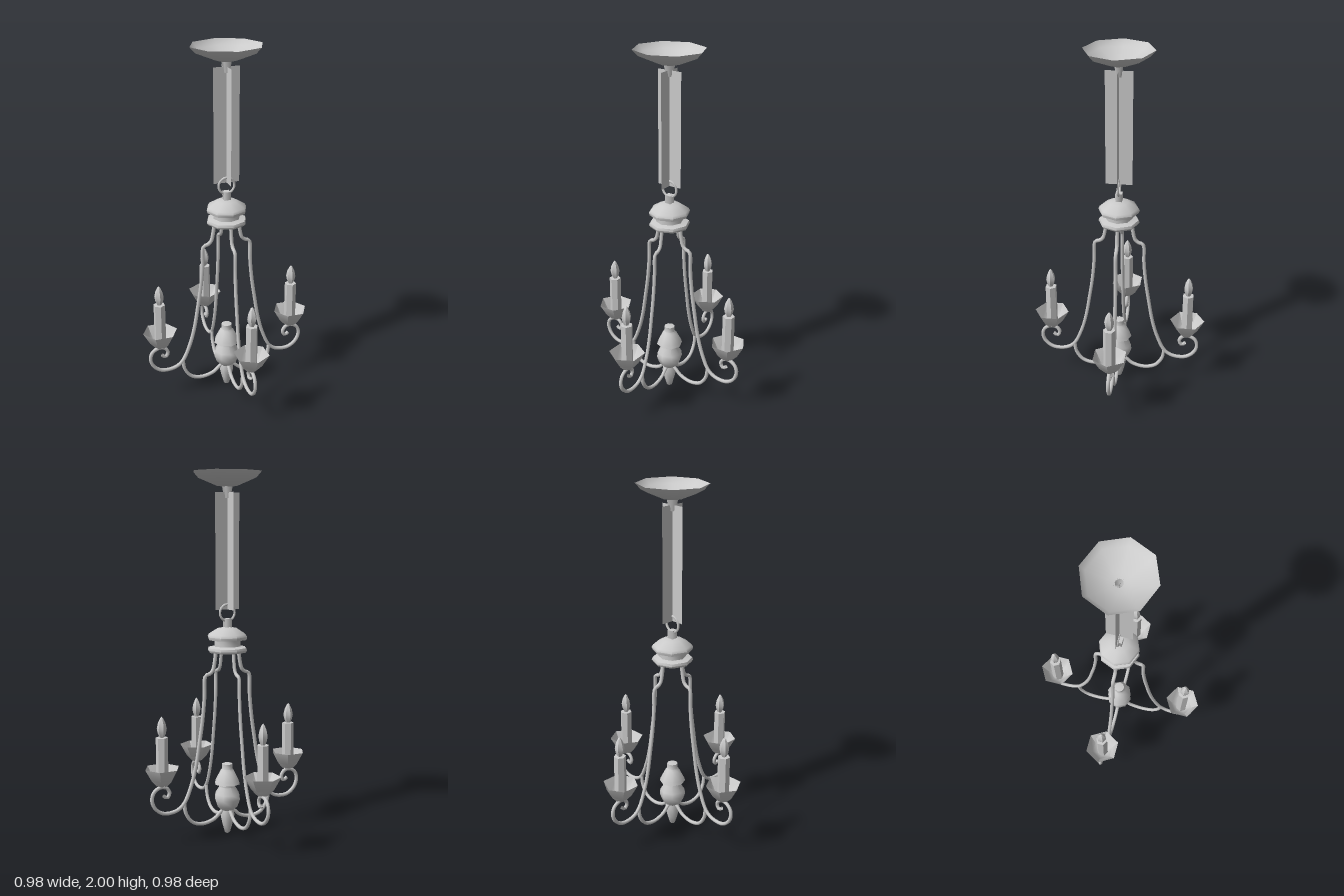
import * as THREE from 'three';
import { toCreasedNormals } from 'three/addons/utils/BufferGeometryUtils.js';

const solid = new THREE.MeshStandardMaterial({ color: 0xcccccc });
const thin = new THREE.MeshStandardMaterial({ color: 0xcccccc, side: THREE.DoubleSide });

function add(parent, name, geometry, material = solid) {
  const mesh = new THREE.Mesh(geometry, material);
  mesh.name = name;
  parent.add(mesh);
  return mesh;
}

// Faceted turned shape; profile is [radius, height] from bottom to top
function turned(profile, sides) {
  const points = profile.map(([r, y]) => new THREE.Vector2(r, y));
  return toCreasedNormals(new THREE.LatheGeometry(points, sides), 0.9);
}

// Round rod along a curve through [outward, height] points
function rod(points, steps) {
  const curve = new THREE.CatmullRomCurve3(points.map(([x, y]) => new THREE.Vector3(x, y, 0)), false, 'centripetal');
  return new THREE.TubeGeometry(curve, steps, 0.0105, 6, false);
}

// Square tapered post
function post(top, bottom, y0, y1) {
  return new THREE.CylinderGeometry(top * Math.SQRT2, bottom * Math.SQRT2, y1 - y0, 4, 1, true)
    .rotateY(Math.PI / 4).translate(0, (y0 + y1) / 2, 0);
}

function createArm() {
  const arm = new THREE.Group();

  // Long arm from the hub, stepping out and ending in a curl under the cup
  add(arm, 'mainScroll', rod([
    [0.07, 1.04], [0.078, 0.98], [0.09, 0.935], [0.11, 0.918], [0.131, 0.912], [0.138, 0.895],
    [0.14, 0.8], [0.152, 0.67], [0.17, 0.55], [0.192, 0.42], [0.222, 0.31], [0.265, 0.215],
    [0.3, 0.185], [0.345, 0.173], [0.395, 0.178], [0.437, 0.21], [0.455, 0.255], [0.445, 0.298],
    [0.41, 0.322], [0.372, 0.318], [0.352, 0.286], [0.368, 0.26], [0.388, 0.275],
  ], 90), thin);

  // Lower brace back to the finial
  add(arm, 'lowerScroll', rod([
    [0.265, 0.215], [0.255, 0.155], [0.215, 0.1], [0.15, 0.082], [0.08, 0.1], [0.045, 0.13], [0.02, 0.15],
  ], 28), thin);

  const light = new THREE.Group();
  light.name = 'candleLight';
  light.position.x = 0.394;
  arm.add(light);

  add(light, 'dripCup', turned([[0, 0.325], [0.033, 0.333], [0.06, 0.362], [0.098, 0.43]], 6)
    .rotateY(Math.PI / 6), thin);
  add(light, 'candle', turned([[0.033, 0.335], [0.033, 0.598], [0, 0.6]], 6));
  add(light, 'flameBulb', turned([
    [0.012, 0.598], [0.022, 0.62], [0.027, 0.645], [0.021, 0.675], [0.009, 0.702], [0, 0.712],
  ], 6));
  return arm;
}

export function createModel() {
  const model = new THREE.Group();
  model.name = 'chandelier';

  // Ceiling canopy, open at the top
  const canopy = add(model, 'ceilingCanopy', turned([[0.022, 1.92], [0.06, 1.925], [0.166, 1.968], [0.195, 2]], 8), thin);
  canopy.scale.z = 0.95;
  add(model, 'canopyStem', post(0.021, 0.013, 1.86, 1.922), thin);

  // Chain as two crossed strips
  for (const [name, turn] of [['chainStripX', 0], ['chainStripZ', Math.PI / 2]]) {
    add(model, name, new THREE.PlaneGeometry(0.145, 0.625).rotateY(turn).translate(0, 1.578, 0), thin);
  }

  // Hanging ring and hub
  add(model, 'hangingRing', new THREE.TorusGeometry(0.045, 0.007, 6, 20).translate(0, 1.248, 0));
  add(model, 'ringPost', post(0.018, 0.018, 1.16, 1.215), thin);
  add(model, 'ringPostCap', new THREE.BoxGeometry(0.036, 0.004, 0.036).translate(0, 1.214, 0));
  add(model, 'hub', turned([
    [0, 1.03], [0.105, 1.033], [0.113, 1.045], [0.108, 1.058], [0.075, 1.066], [0.075, 1.098],
    [0.108, 1.102], [0.113, 1.118], [0.105, 1.132], [0.055, 1.163], [0.02, 1.17], [0, 1.17],
  ], 8));

  // Four arms around the hub
  for (let i = 0; i < 4; i++) {
    const arm = createArm();
    arm.name = `arm${i + 1}`;
    arm.rotation.y = i * Math.PI / 2;
    model.add(arm);
  }

  // Turned centre finial
  add(model, 'centreFinial', turned([
    [0, 0], [0.016, 0.012], [0.03, 0.06], [0.042, 0.115], [0.037, 0.142], [0.06, 0.165], [0.074, 0.205],
    [0.07, 0.235], [0.045, 0.275], [0.046, 0.285], [0.073, 0.292], [0.068, 0.31], [0.04, 0.365],
    [0.03, 0.375], [0.03, 0.405], [0, 0.41],
  ], 8));
  return model;
}
